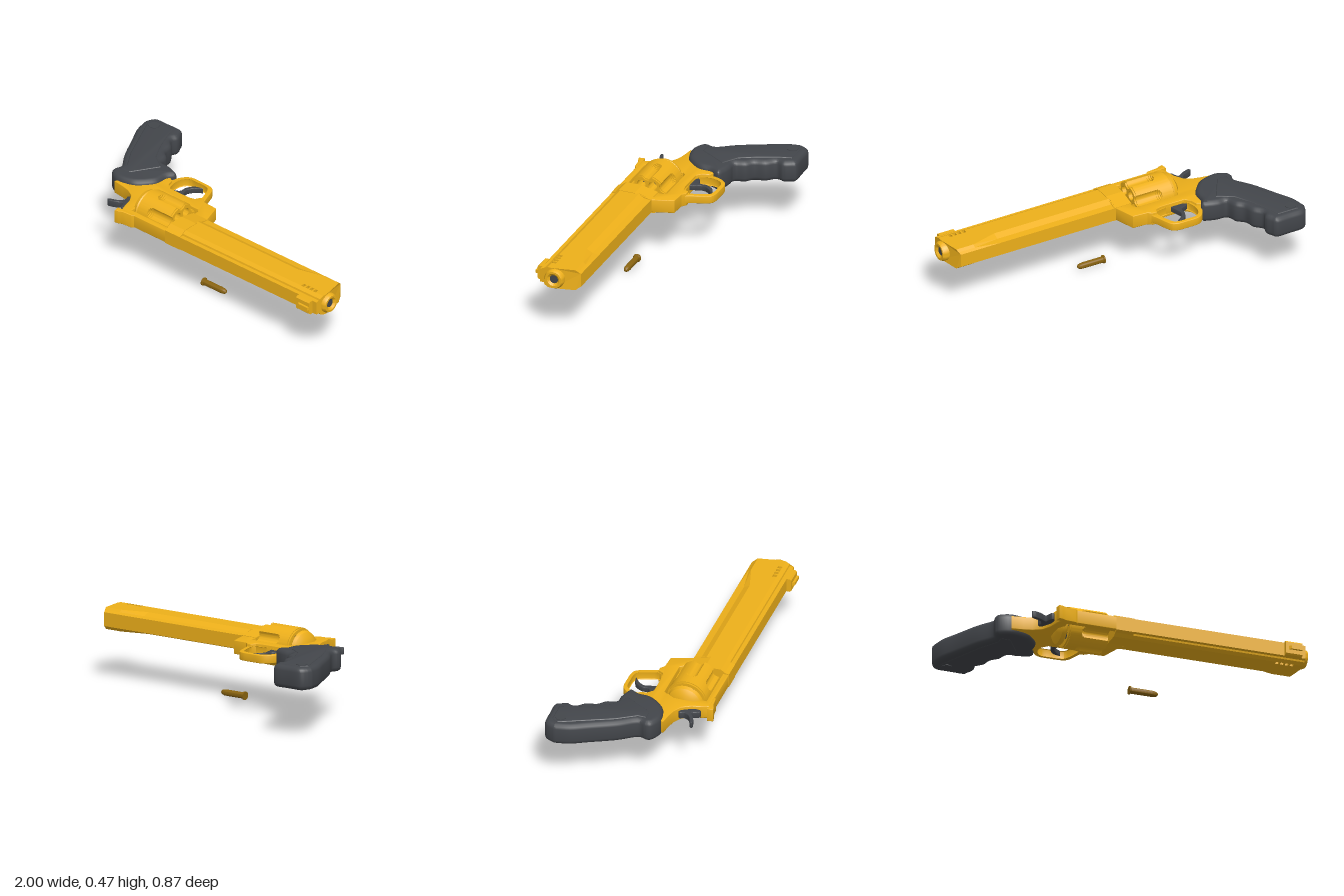
import * as THREE from 'three';
import { toCreasedNormals } from 'three/addons/utils/BufferGeometryUtils.js';

const gold = new THREE.MeshStandardMaterial({ color: 0xeeb01a, side: THREE.DoubleSide });
const dark = new THREE.MeshStandardMaterial({ color: 0x43464b });
const brass = new THREE.MeshStandardMaterial({ color: 0x8a6410, side: THREE.DoubleSide });

const vecs = (pts) => pts.map(([a, b]) => new THREE.Vector2(a, b));
const smooth = (pts, n = 60) => new THREE.SplineCurve(vecs([...pts, pts[0]])).getPoints(n).slice(0, -1);

// Plate drawn in the x-z plane, centred on y = 0 with the given half thickness
function plate(outline, half, bevel = 0, holes = []) {
  const shape = new THREE.Shape(outline);
  holes.forEach((h) => shape.holes.push(new THREE.Path(h)));
  const depth = 2 * (half - bevel);
  const geo = new THREE.ExtrudeGeometry(shape, {
    depth, bevelEnabled: bevel > 0, bevelSize: bevel, bevelThickness: bevel,
    bevelOffset: -bevel, bevelSegments: 3, curveSegments: 16,
  });
  geo.translate(0, 0, -depth / 2).rotateX(Math.PI / 2);
  return toCreasedNormals(geo, 0.6);
}

// Solid along x; each station is [x or x(z), half profile of [z, half width]]
function loft(stations) {
  const pos = [], idx = [];
  const n = stations[0][1].length * 2;
  for (const [x, half] of stations) {
    const ring = [...half, ...half.map(([z, y]) => [z, -y]).reverse()];
    for (const [z, y] of ring) pos.push(typeof x === 'function' ? x(z) : x, y, z);
  }
  for (let s = 0; s < stations.length - 1; s++) {
    for (let j = 0; j < n; j++) {
      const a = s * n + j, b = s * n + ((j + 1) % n);
      idx.push(a, b, b + n, a, b + n, a + n);
    }
  }
  const e = (stations.length - 1) * n;
  for (let j = 1; j < n - 1; j++) idx.push(0, j + 1, j, e, e + j, e + j + 1);
  const geo = new THREE.BufferGeometry();
  geo.setAttribute('position', new THREE.Float32BufferAttribute(pos, 3));
  geo.setIndex(idx);
  const flat = geo.toNonIndexed();
  flat.computeVertexNormals();
  return flat;
}

// Turned part around an x axis; points are [radius, x]
function turned(points, z = 0) {
  const geo = new THREE.LatheGeometry(vecs(points), 40).rotateZ(-Math.PI / 2).translate(0, 0, z);
  return toCreasedNormals(geo, 0.6);
}

export function createModel() {
  const model = new THREE.Group();
  const gun = new THREE.Group();
  gun.name = 'revolver';
  gun.position.y = 0.348;
  model.add(gun);
  const add = (name, geo, mat = gold, parent = gun) => {
    const mesh = new THREE.Mesh(geo, mat);
    mesh.name = name;
    parent.add(mesh);
    return mesh;
  };

  // Barrel: slim lug at the rear, fuller near the muzzle, slanted end
  const endX = (z) => (z < 0.26 ? 0.94 + (z - 0.15) * 0.41 : 0.985 - (z - 0.26) * 0.12);
  const slim = [[0.15, 0.04], [0.19, 0.045], [0.225, 0.063], [0.315, 0.063]];
  const full = [[0.15, 0.04], [0.165, 0.05], [0.18, 0.063], [0.315, 0.063]];
  add('barrel', loft([[-0.07, slim], [0.68, slim], [0.84, full], [endX, full]]));
  const band = [[0.315, 0.063], [0.34, 0.063]];
  add('barrelUpper', loft([[-0.07, band], [0.81, band]]));
  // Pillars between the vent holes
  for (let i = 0; i < 4; i++) {
    const x = 0.83 + i * 0.029;
    add('ventPillar', loft([[x, band], [i === 3 ? endX : x + 0.01, band]]));
  }
  const rib = [[0.34, 0.063], [0.362, 0.05], [0.365, 0.04], [0.39, 0.04]];
  add('barrelRib', loft([[-0.07, rib], [endX, rib]]));
  add('muzzle', turned([[0.058, 0.93], [0.058, 0.985], [0.05, 1], [0.038, 1], [0.025, 0.988]], 0.297));
  add('bore', turned([[0.027, 0.95], [0.027, 0.988], [0, 0.988]], 0.297), dark);

  // Sights
  const foot = [[0.385, 0.042], [0.41, 0.042], [0.418, 0.034]];
  add('frontSightBase', loft([[0.84, foot], [0.94, foot]]));
  add('frontSight', plate(vecs([[0.85, 0.41], [0.94, 0.41], [0.935, 0.432], [0.87, 0.432]]), 0.01));
  add('rearSight', plate(vecs([[-0.53, 0.385], [-0.4, 0.385], [-0.42, 0.4], [-0.48, 0.405], [-0.5, 0.415], [-0.525, 0.42]]), 0.042, 0.003));

  // Frame with the cylinder window
  add('frame', plate(vecs([
    [-0.07, 0.39], [-0.5, 0.39], [-0.515, 0.35], [-0.53, 0.29], [-0.56, 0.24], [-0.61, 0.212],
    [-0.66, 0.2], [-0.73, 0.19], [-0.7, 0.12], [-0.62, 0.05], [-0.53, -0.05], [-0.49, -0.03],
    [-0.48, 0.01], [-0.45, 0.04], [-0.3, 0.04], [-0.265, 0.03], [-0.25, 0], [-0.225, 0],
    [-0.2, 0.02], [-0.11, 0.025], [-0.065, 0.165],
  ]), 0.04, 0.004, [vecs([
    [-0.455, 0.355], [-0.455, 0.12], [-0.44, 0.1], [-0.18, 0.1], [-0.165, 0.12], [-0.165, 0.355],
  ])]));
  const block = [[0.15, 0.042], [0.25, 0.066], [0.345, 0.066], [0.368, 0.05], [0.392, 0.042]];
  add('frameFront', loft([[-0.17, block], [-0.062, block]]));
  // Trigger guard hoop
  add('triggerGuard', plate(smooth([
    [-0.2, 0.04], [-0.23, -0.02], [-0.265, -0.115], [-0.3, -0.143], [-0.37, -0.147],
    [-0.445, -0.143], [-0.488, -0.105], [-0.51, -0.04], [-0.5, 0.04], [-0.36, 0.06],
  ]), 0.024, 0.004, [smooth([
    [-0.265, 0.03], [-0.252, -0.01], [-0.285, -0.105], [-0.32, -0.128], [-0.38, -0.13],
    [-0.44, -0.126], [-0.475, -0.085], [-0.48, -0.02], [-0.45, 0.035], [-0.36, 0.042],
  ])]));

  // Trigger and hammer
  add('trigger', plate(smooth([
    [-0.46, 0.05], [-0.46, 0.02], [-0.41, -0.005], [-0.405, -0.05], [-0.375, -0.095], [-0.325, -0.108],
    [-0.36, -0.08], [-0.385, -0.04], [-0.375, 0.01], [-0.37, 0.05],
  ]), 0.016, 0.003), dark);
  add('hammer', plate(smooth([
    [-0.52, 0.2], [-0.585, 0.235], [-0.578, 0.265], [-0.6, 0.3], [-0.655, 0.325], [-0.645, 0.34],
    [-0.6, 0.325], [-0.565, 0.305], [-0.545, 0.345], [-0.525, 0.34], [-0.52, 0.28],
  ]), 0.02, 0.003), dark);

  // Fluted cylinder in slices, so the flutes end in a curve
  const cylinder = new THREE.Group();
  cylinder.name = 'cylinder';
  cylinder.position.z = 0.228;
  gun.add(cylinder);
  const slices = [[-0.43, -0.42, 0.114, 0], [-0.42, -0.355, 0.119, 0], [-0.355, -0.349, 0.119, 0.45], [-0.349, -0.339, 0.119, 0.75],
    [-0.339, -0.328, 0.119, 0.93], [-0.328, -0.2, 0.119, 1], [-0.2, -0.19, 0.114, 1]];
  for (const [x0, x1, radius, k] of slices) {
    const ring = [];
    for (let i = 0; i < 144; i++) {
      const t = (i / 144) * Math.PI * 2;
      const off = (t % (Math.PI / 3)) - Math.PI / 6;
      const r = radius - (k ? 0.023 * k * Math.sqrt(Math.max(0, 1 - (off / (0.25 * k)) ** 2)) : 0);
      ring.push([r * Math.cos(t), r * Math.sin(t)]);
    }
    const shape = new THREE.Shape(vecs(ring));
    for (let i = 0; i < 6; i++) {
      const t = (i * Math.PI) / 3;
      shape.holes.push(new THREE.Path().absarc(0.07 * Math.cos(t), 0.07 * Math.sin(t), 0.026, 0, Math.PI * 2, true));
    }
    const geo = new THREE.ExtrudeGeometry(shape, { depth: x1 - x0, bevelEnabled: false, curveSegments: 20 });
    add('cylinderSlice', toCreasedNormals(geo.rotateY(Math.PI / 2).translate(x0, 0, 0), 0.5), gold, cylinder);
  }
  for (let i = 0; i < 6; i++) {
    const t = (i * Math.PI) / 3;
    const round = new THREE.CylinderGeometry(0.026, 0.026, 0.17, 20).rotateZ(Math.PI / 2);
    add('chamberFill', round, dark, cylinder).position.set(-0.345, 0.07 * Math.sin(t), 0.07 * Math.cos(t));
  }
  add('axle', turned([[0, -0.47], [0.022, -0.47], [0.022, -0.15], [0, -0.15]]), gold, cylinder);
  add('recoilShield', turned([[0, -0.49], [0.07, -0.485], [0.1, -0.465], [0.107, -0.445], [0.1, -0.437], [0, -0.437]]), gold, cylinder);

  // Grip with finger grooves, raised side panels and a round cap
  add('grip', plate(smooth([
    [-1, -0.37], [-0.985, -0.41], [-0.955, -0.437], [-0.87, -0.44], [-0.785, -0.44], [-0.762, -0.41], [-0.745, -0.37],
    [-0.757, -0.325], [-0.715, -0.275], [-0.7, -0.215], [-0.66, -0.175], [-0.64, -0.118], [-0.59, -0.112],
    [-0.545, -0.1], [-0.5, -0.075], [-0.525, -0.02], [-0.535, 0.06], [-0.6, 0.14], [-0.66, 0.168], [-0.73, 0.175],
    [-0.79, 0.145], [-0.803, 0.11], [-0.793, 0.06], [-0.86, -0.04], [-0.93, -0.18], [-0.98, -0.28],
  ], 130), 0.066, 0.028), dark);
  add('gripPanel', plate(vecs([
    [-0.965, -0.36], [-0.94, -0.4], [-0.81, -0.4], [-0.79, -0.33], [-0.74, -0.21], [-0.69, -0.12],
    [-0.6, -0.06], [-0.7, 0.1], [-0.76, 0.1], [-0.76, 0.05], [-0.83, -0.06],
  ]), 0.07, 0.006), dark);
  add('gripCap', new THREE.CylinderGeometry(0.032, 0.032, 0.146, 28).translate(-0.915, 0, -0.358), dark);

  // Loose cartridge beside the gun
  const cartridge = add('cartridge', turned([
    [0, -0.033], [0.024, -0.033], [0.024, -0.025], [0.018, -0.022], [0.018, 0.1],
    [0.017, 0.118], [0.013, 0.132], [0.007, 0.139], [0, 0.141],
  ]), brass, model);
  cartridge.position.set(0, 0.024, 0.22);
  return model;
}
